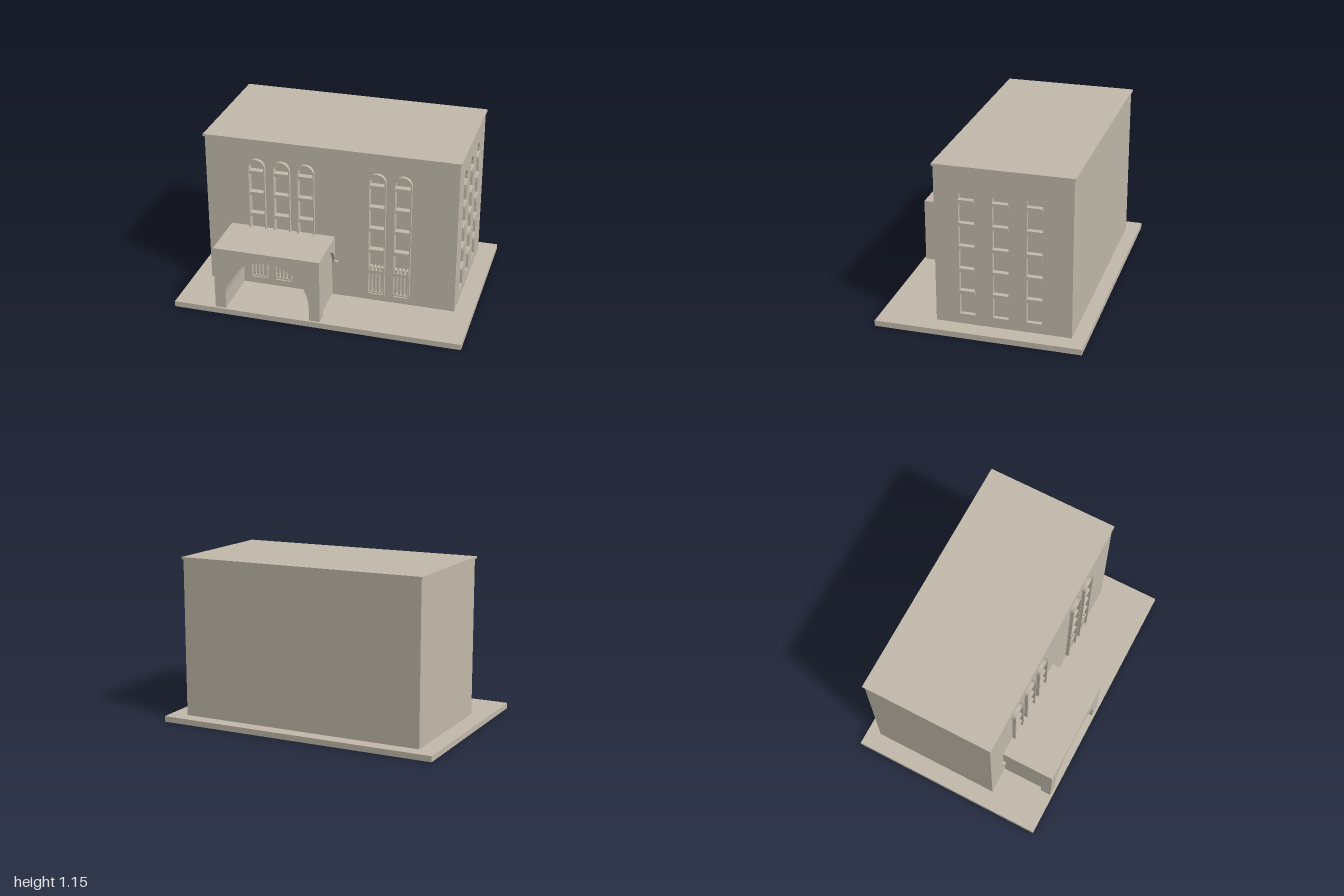
import * as THREE from 'three';

export function createModel() {
  const model = new THREE.Group();
  const stone = new THREE.MeshStandardMaterial({ color: 0xc2baab });
  stone.name = 'warm stone';

  const add = (name, geometry, parent = model) => {
    const mesh = new THREE.Mesh(geometry, stone);
    mesh.name = name;
    parent.add(mesh);
    return mesh;
  };

  // Box given by its limits on each axis
  const box = (name, x0, x1, y0, y1, z0, z1, parent) => {
    const mesh = add(name, new THREE.BoxGeometry(x1 - x0, y1 - y0, z1 - z0), parent);
    mesh.position.set((x0 + x1) / 2, (y0 + y1) / 2, (z0 + z1) / 2);
    return mesh;
  };

  // Round-headed outline: straight sides with a semicircular top
  const archPath = (cx, halfWidth, bottom, top, PathType = THREE.Path) => {
    const path = new PathType();
    path.moveTo(cx - halfWidth, bottom);
    path.lineTo(cx + halfWidth, bottom);
    path.lineTo(cx + halfWidth, top - halfWidth);
    path.absarc(cx, top - halfWidth, halfWidth, 0, Math.PI, false);
    path.closePath();
    return path;
  };

  const rectShape = (x0, x1, y0, y1) => new THREE.Shape([
    new THREE.Vector2(x0, y0), new THREE.Vector2(x1, y0),
    new THREE.Vector2(x1, y1), new THREE.Vector2(x0, y1),
  ]);

  const extrude = (shape, depth) =>
    new THREE.ExtrudeGeometry(shape, { depth, bevelEnabled: false, curveSegments: 20 });

  // Plinth, building core and roof
  box('plinth', -1, 1, 0, 0.04, -0.7, 0.7);
  box('buildingCore', -0.875, 0.845, 0.04, 1.135, -0.605, 0.28);
  box('roofSlab', -0.885, 0.885, 1.135, 1.15, -0.615, 0.32);

  // Front wall with arched window openings
  const frontCentres = [-0.51, -0.335, -0.165, 0.33, 0.505];
  const frontShape = rectShape(-0.875, 0.875, 0.04, 1.135);
  frontCentres.forEach((x) => frontShape.holes.push(archPath(x, 0.052, 0.103, 1.002)));
  add('frontWall', extrude(frontShape, 0.03)).position.z = 0.28;

  // Right wall, drawn with local x running towards the back
  const sideCentres = [-0.095, 0.13, 0.355];
  const sideShape = rectShape(-0.28, 0.605, 0.04, 1.135);
  sideCentres.forEach((u) => sideShape.holes.push(archPath(u, 0.052, 0.11, 1.0)));
  const sideWall = add('sideWall', extrude(sideShape, 0.03));
  sideWall.rotation.y = Math.PI / 2;
  sideWall.position.x = 0.845;

  // Front windows: raised frame, cross bars and a low balustrade
  const frameShape = archPath(0, 0.06, 0.095, 1.01, THREE.Shape);
  frameShape.holes.push(archPath(0, 0.052, 0.103, 1.002));
  const frameGeometry = extrude(frameShape, 0.025);
  frontCentres.forEach((x) => {
    const frontWindow = new THREE.Group();
    frontWindow.name = 'frontWindow';
    frontWindow.position.x = x;
    model.add(frontWindow);
    add('windowFrame', frameGeometry, frontWindow).position.z = 0.31;
    [0.91, 0.75, 0.59, 0.43].forEach((y) =>
      box('crossBar', -0.052, 0.052, y - 0.012, y + 0.012, 0.28, 0.325, frontWindow));
    box('balustradeRail', -0.052, 0.052, 0.258, 0.282, 0.28, 0.325, frontWindow);
    box('balustradeFoot', -0.052, 0.052, 0.103, 0.113, 0.28, 0.325, frontWindow);
    for (let i = 0; i < 4; i++) {
      const px = -0.039 + i * 0.026;
      box('baluster', px - 0.008, px + 0.008, 0.105, 0.305, 0.285, 0.32, frontWindow);
    }
  });

  // Side windows: projecting cross bars
  sideCentres.forEach((u) => {
    [0.91, 0.75, 0.59, 0.43, 0.27].forEach((y) =>
      box('sideCrossBar', 0.845, 0.882, y - 0.0125, y + 0.0125, -u - 0.054, -u + 0.054));
  });

  // Porch: a vaulted passage opening to the front
  const porchMid = -0.335;
  const porchShape = new THREE.Shape();
  porchShape.moveTo(porchMid - 0.35, 0.04);
  porchShape.lineTo(porchMid - 0.295, 0.04);
  porchShape.lineTo(porchMid - 0.295, 0.135);
  porchShape.absarc(porchMid, 0.135, 0.295, Math.PI, 0, true);
  porchShape.lineTo(porchMid + 0.295, 0.04);
  porchShape.lineTo(porchMid + 0.35, 0.04);
  porchShape.lineTo(porchMid + 0.35, 0.495);
  porchShape.lineTo(porchMid - 0.35, 0.495);
  porchShape.closePath();
  add('porchVault', extrude(porchShape, 0.375)).position.z = 0.31;

  // Porch flanks with blind arches that run into the building wall
  const flankShape = new THREE.Shape();
  flankShape.moveTo(-0.685, 0.04);
  flankShape.lineTo(-0.61, 0.04);
  flankShape.lineTo(-0.61, 0.28);
  flankShape.absarc(-0.46, 0.28, 0.15, Math.PI, 0, true);
  flankShape.lineTo(-0.31, 0.495);
  flankShape.lineTo(-0.685, 0.495);
  flankShape.closePath();
  const flankGeometry = extrude(flankShape, 0.02);
  [-0.705, 0.015].forEach((x) => {
    const flank = add('porchFlank', flankGeometry);
    flank.rotation.y = Math.PI / 2;
    flank.position.x = x;
  });

  // Small wall blocks where the porch meets the front wall
  [-1, 1].forEach((s) => {
    const x = porchMid + s * 0.382;
    box('wallBlock', x - 0.013, x + 0.013, 0.295, 0.315, 0.31, 0.33);
  });

  return model;
}
